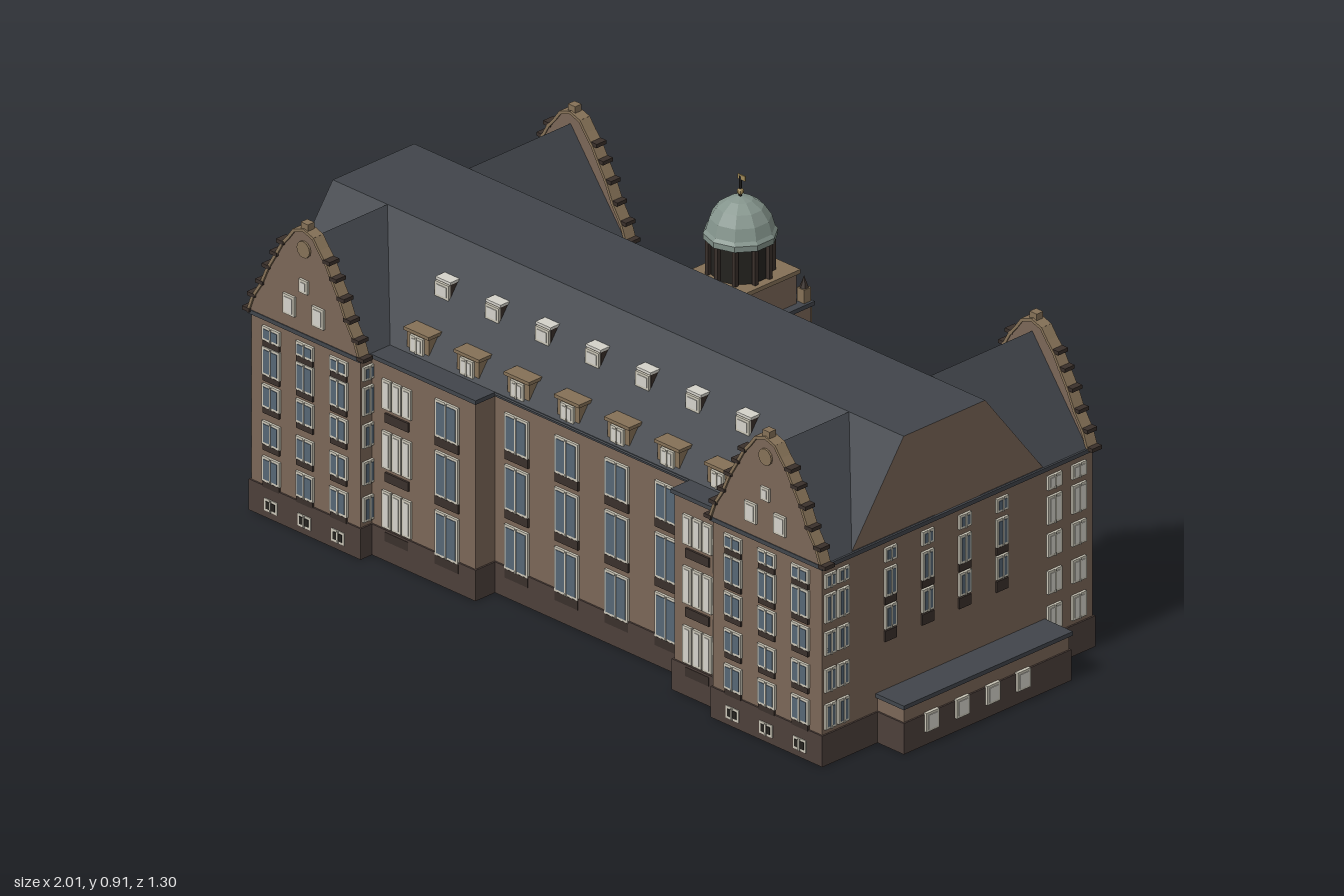
import * as THREE from 'three';

const mat = (color) => new THREE.MeshStandardMaterial({ color, flatShading: true });
const M = {
  wall: mat(0x7b6657), base: mat(0x4c3f3a), roof: mat(0x41454b), trim: mat(0x3a302b),
  frame: mat(0xc9c5b6), glass: mat(0x566675), white: mat(0xd4d2ca), stone: mat(0x857157),
  copper: mat(0x84948c), iron: mat(0x24221f), gold: mat(0xa08a58),
};
const EAVE = 0.485, TOP = 0.715, WING = 0.714, HALF = 0.169, END = 0.883, OUT = 0.415;
// Height and size of the five window rows
const ROWS = [[0.117, 0.06], [0.205, 0.056], [0.295, 0.056], [0.38, 0.068], [0.447, 0.034]];

function add(parent, name, geo, material, x = 0, y = 0, z = 0) {
  const m = new THREE.Mesh(geo, material);
  m.name = name;
  m.position.set(x, y, z);
  parent.add(m);
  return m;
}
const box = (p, name, m, w, h, d, x, y, z) => add(p, name, new THREE.BoxGeometry(w, h, d), m, x, y, z);

// Box given by its limits
const span = (p, name, m, x0, x1, y0, y1, z0, z1) =>
  box(p, name, m, x1 - x0, y1 - y0, z1 - z0, (x0 + x1) / 2, (y0 + y1) / 2, (z0 + z1) / 2);

// Brick volume on a dark plinth with an eaves strip
function block(p, name, x0, x1, z0, z1, top = EAVE) {
  span(p, name + 'Wall', M.wall, x0, x1, 0.07, top, z0, z1);
  span(p, name + 'Plinth', M.base, x0 - 0.004, x1 + 0.004, 0, 0.075, z0 - 0.004, z1 + 0.004);
  span(p, name + 'Eaves', M.roof, x0 - 0.006, x1 + 0.006, top - 0.006, top + 0.004, z0 - 0.006, z1 + 0.006);
}

// Group lying on a wall, its +z pointing outwards
function facade(p, name, x, z, turn) {
  const g = new THREE.Group();
  g.name = name;
  g.position.set(x, 0, z);
  g.rotation.y = turn;
  p.add(g);
  return g;
}

// Framed window with mullions
function pane(f, x, y, w, h, glass = M.glass, bars = 1) {
  box(f, 'windowFrame', M.frame, w, h, 0.008, x, y, 0.002);
  box(f, 'windowPane', glass, w - 0.012, h - 0.012, 0.01, x, y, 0.0025);
  for (let i = 1; i <= bars; i++)
    box(f, 'mullion', M.frame, 0.004, h, 0.012, x - w / 2 + (w * i) / (bars + 1), y, 0.003);
}
const sill = (f, x, y, w, h) => box(f, 'sillPanel', M.trim, w, h, 0.008, x, y, 0.001);

// Shaped gable with stone copings, windows and a finial
function gable(f) {
  const pts = [[HALF + 0.004, EAVE], [0.158, 0.525], [0.132, 0.565], [0.112, 0.61], [0.088, 0.65],
    [0.068, 0.685], [0.048, 0.708], [0.03, 0.732], [0, 0.742]];
  const s = new THREE.Shape();
  pts.forEach(([x, y], i) => (i ? s.lineTo(x, y) : s.moveTo(x, y)));
  [...pts].reverse().slice(1).forEach(([x, y]) => s.lineTo(-x, y));
  add(f, 'gableWall', new THREE.ExtrudeGeometry(s, { depth: 0.022, bevelEnabled: false }), M.wall, 0, 0, -0.018);
  for (const side of [-1, 1]) {
    pts.slice(0, -1).forEach(([x, y], i) => {
      const [x2, y2] = pts[i + 1];
      const c = box(f, 'coping', M.stone, Math.hypot(x2 - x, y2 - y) + 0.003, 0.007, 0.03,
        side * (x + x2) / 2, (y + y2) / 2, -0.006);
      c.rotation.z = side * Math.atan2(y2 - y, x2 - x);
      if (i < 6) box(f, 'copingStone', M.trim, 0.022, 0.009, 0.03, side * (x + 0.004), y + 0.004, -0.005);
    });
    pane(facade(f, 'gableWindow', side * 0.045, 0.004, 0), 0, 0.545, 0.036, 0.048, M.white, 0);
  }
  pane(facade(f, 'topWindow', 0, 0.004, 0), 0, 0.605, 0.026, 0.032, M.white, 0);
  add(f, 'roundel', new THREE.CylinderGeometry(0.02, 0.02, 0.01, 12).rotateX(Math.PI / 2), M.stone, 0, 0.695, 0.004);
  box(f, 'finial', M.stone, 0.022, 0.02, 0.02, 0, 0.748, -0.005);
}

// Corner wing; sz = 1 at the front, -1 at the back
function wing(p, sx, sz) {
  const g = new THREE.Group();
  g.name = (sz > 0 ? 'front' : 'back') + (sx > 0 ? 'Left' : 'Right') + 'Wing';
  p.add(g);
  const cx = sx * WING, inner = sz * 0.2;
  block(g, 'wing', cx - HALF, cx + HALF, Math.min(inner, sz * OUT), Math.max(inner, sz * OUT));
  const tri = new THREE.Shape([new THREE.Vector2(-HALF - 0.004, EAVE), new THREE.Vector2(HALF + 0.004, EAVE),
    new THREE.Vector2(0, TOP)]);
  const len = OUT - 0.08;
  add(g, 'wingRoof', new THREE.ExtrudeGeometry(tri, { depth: len, bevelEnabled: false }), M.roof,
    cx, 0, sz > 0 ? 0.07 : -0.07 - len);
  const f = facade(g, 'gableFacade', cx, sz * OUT, sz > 0 ? 0 : Math.PI);
  gable(f);
  for (const x of [-0.104, 0, 0.104]) {
    for (const [y, h] of ROWS) {
      pane(f, x, y, 0.054, h);
      sill(f, x, y - h / 2 - 0.008, 0.05, 0.014);
    }
    pane(f, x, 0.032, 0.04, 0.03, M.iron, 1);
  }
  // Two window columns on each flank
  for (const side of [-1, 1]) {
    const flank = facade(g, 'flankFacade', cx + side * HALF, 0, side * Math.PI / 2);
    for (const z of sz > 0 ? [0.353, 0.393] : [-0.295, -0.37])
      for (const [y, h] of ROWS)
        pane(flank, -side * z, y, sz > 0 ? 0.034 : 0.042, h, sz > 0 ? M.glass : M.white, 1);
  }
}

// Stair tower with a domed lantern and an entrance canopy
function tower(p) {
  const g = new THREE.Group();
  g.name = 'tower';
  p.add(g);
  block(g, 'tower', -0.092, 0.092, -0.335, -0.2, 0.585);
  span(g, 'towerTop', M.wall, -0.078, 0.078, 0.55, 0.665, -0.305, -0.115);
  span(g, 'towerCornice', M.stone, -0.084, 0.084, 0.662, 0.672, -0.311, -0.109);
  for (const x of [-0.08, -0.03, 0.03, 0.08]) {
    box(g, 'parapetPost', M.stone, 0.022, 0.04, 0.022, x, 0.602, -0.326);
    add(g, 'pinnacle', new THREE.ConeGeometry(0.011, 0.03, 6), M.trim, x, 0.636, -0.326);
  }
  const f = facade(g, 'towerFacade', 0, -0.335, Math.PI);
  for (const x of [-0.058, -0.02, 0.02, 0.058])
    for (let i = 0; i < 5; i++) {
      pane(f, x, 0.235 + i * 0.075, 0.022, 0.052, M.white, 0);
      sill(f, x, 0.2 + i * 0.075, 0.02, 0.012);
    }
  for (const x of [-0.08, 0.08]) box(f, 'pilaster', M.stone, 0.014, 0.5, 0.012, x, 0.325, 0.002);
  add(g, 'dial', new THREE.CylinderGeometry(0.024, 0.024, 0.012, 16).rotateX(Math.PI / 2), M.frame, 0, 0.63, -0.306);
  // Entrance
  box(f, 'doorSurround', M.frame, 0.13, 0.115, 0.012, 0, 0.06, 0.004);
  box(f, 'door', M.iron, 0.11, 0.1, 0.016, 0, 0.052, 0.004);
  box(f, 'step', M.base, 0.15, 0.012, 0.05, 0, 0.006, 0.025);
  box(f, 'lintel', M.frame, 0.15, 0.03, 0.014, 0, 0.165, 0.004);
  for (const z of [0.006, 0.072]) box(f, 'canopyBeam', M.trim, 0.194, 0.012, 0.006, 0, 0.124, z);
  for (let i = 0; i < 13; i++) box(f, 'canopySlat', M.iron, 0.007, 0.008, 0.074, -0.093 + i * 0.0155, 0.13, 0.037);
  for (const x of [-0.075, 0.075]) box(f, 'canopyPost', M.frame, 0.012, 0.12, 0.012, x, 0.06, 0.05);
  // Lantern
  const l = facade(g, 'lantern', 0, -0.21, 0);
  add(l, 'drum', new THREE.CylinderGeometry(0.066, 0.066, 0.1, 10), M.iron, 0, 0.715, 0);
  for (let i = 0; i < 10; i++) {
    const a = (i / 10) * Math.PI * 2;
    box(l, 'drumPost', M.trim, 0.01, 0.095, 0.01, Math.sin(a) * 0.071, 0.715, Math.cos(a) * 0.071);
  }
  const curve = [[0, 0.758], [0.082, 0.758], [0.083, 0.772], [0.077, 0.78], [0.069, 0.808], [0.052, 0.833],
    [0.028, 0.85], [0.008, 0.856], [0, 0.858]].map(([x, y]) => new THREE.Vector2(x, y));
  add(l, 'dome', new THREE.LatheGeometry(curve, 10), M.copper);
  add(l, 'finialPole', new THREE.CylinderGeometry(0.003, 0.004, 0.055, 6), M.iron, 0, 0.878, 0);
  add(l, 'finialBall', new THREE.SphereGeometry(0.008, 8, 6), M.gold, 0, 0.868, 0);
  box(l, 'vane', M.gold, 0.022, 0.012, 0.003, 0.004, 0.903, 0);
}

// Small roof light; its facade looks out over the slope
function skylight(p, x, y, z, turn) {
  const f = facade(p, 'skylight', x, z, turn);
  box(f, 'skylightBody', M.trim, 0.044, 0.044, 0.045, 0, y, -0.0225);
  box(f, 'skylightTop', M.white, 0.046, 0.006, 0.047, 0, y + 0.023, -0.0215);
  pane(f, 0, y, 0.042, 0.036, M.white, 0);
}

export function createModel() {
  const root = new THREE.Group();
  root.name = 'building';
  const b = new THREE.Group();
  b.name = 'mainBuilding';
  b.rotation.y = -15.4 * Math.PI / 180;
  root.add(b);

  // Main range and its flat-topped roof
  block(b, 'main', -END, END, -0.26, 0.32);
  const prof = [[-0.328, EAVE], [0.266, EAVE], [0.085, TOP], [-0.165, TOP]].map(([x, y]) => new THREE.Vector2(x, y));
  const roof = new THREE.ExtrudeGeometry(new THREE.Shape(prof), { depth: 2 * END, bevelEnabled: false });
  add(b, 'mainRoof', roof.rotateY(Math.PI / 2), [M.wall, M.roof], -END, 0, 0);
  // Projecting bays beside the front wings
  block(b, 'rightBay', -0.55, -0.225, 0.3, 0.38);
  block(b, 'leftBay', 0.39, 0.55, 0.3, 0.38);
  for (const sx of [-1, 1]) for (const sz of [-1, 1]) wing(b, sx, sz);

  // Front windows, dormers and skylights
  for (let i = -3; i <= 3; i++) {
    const x = i * 0.155;
    const f = facade(b, 'frontBay', x, i < -1 || i === 3 ? 0.38 : 0.32, 0);
    for (const [y, h] of [[0.125, 0.108], [0.27, 0.108], [0.405, 0.09]]) {
      if (Math.abs(i) === 3) for (const dx of [-0.031, 0, 0.031]) pane(f, dx, y, 0.027, h - 0.018, M.white, 0);
      else pane(f, 0, y, 0.072, h, M.glass, 1);
      sill(f, 0, y - h / 2 - 0.012, 0.072, 0.022);
    }
    const d = facade(b, 'dormer', x, 0.318, 0);
    span(d, 'dormerBody', M.stone, -0.034, 0.034, EAVE, 0.54, -0.09, 0);
    span(d, 'dormerRoof', M.stone, -0.039, 0.039, 0.54, 0.548, -0.09, 0.006);
    pane(d, 0, 0.515, 0.04, 0.04, M.white, 1);
    skylight(b, x, 0.621, 0.24, 0);
  }

  // Back windows and skylights
  const back = facade(b, 'backFacade', 0, -0.26, Math.PI);
  for (const s of [-1, 1]) {
    for (let i = 0; i < 4; i++) {
      const x = s * (0.15 + i * 0.106);
      for (const y of [0.125, 0.222, 0.319, 0.416]) {
        pane(back, x, y, 0.082, 0.074, M.white, 2);
        sill(back, x, y - 0.045, 0.08, 0.014);
      }
      pane(back, x, 0.035, 0.06, 0.034, M.white, 1);
    }
    for (const x of [0.215, 0.34, 0.465]) skylight(b, s * x, 0.592, -0.213, Math.PI);
    // End walls and low annexes
    const end = facade(b, 'endFacade', s * END, 0, s * Math.PI / 2);
    for (const z of [0.208, 0.094, -0.02, -0.134]) {
      for (const [y, h] of ROWS.slice(2)) pane(end, -s * z, y, 0.036, h, M.glass, 1);
      sill(end, -s * z, 0.336, 0.036, 0.018);
      sill(end, -s * z, 0.25, 0.036, 0.026);
    }
    block(b, 'annex', s > 0 ? END - 0.01 : -0.964, s > 0 ? 0.964 : 0.01 - END, -0.262, 0.245, 0.115);
    const annex = facade(b, 'annexFacade', s * 0.968, 0, s * Math.PI / 2);
    for (const z of [0.165, 0.072, -0.022, -0.115]) pane(annex, -s * z, 0.056, 0.04, 0.046, M.white, 0);
  }
  tower(b);
  return root;
}
